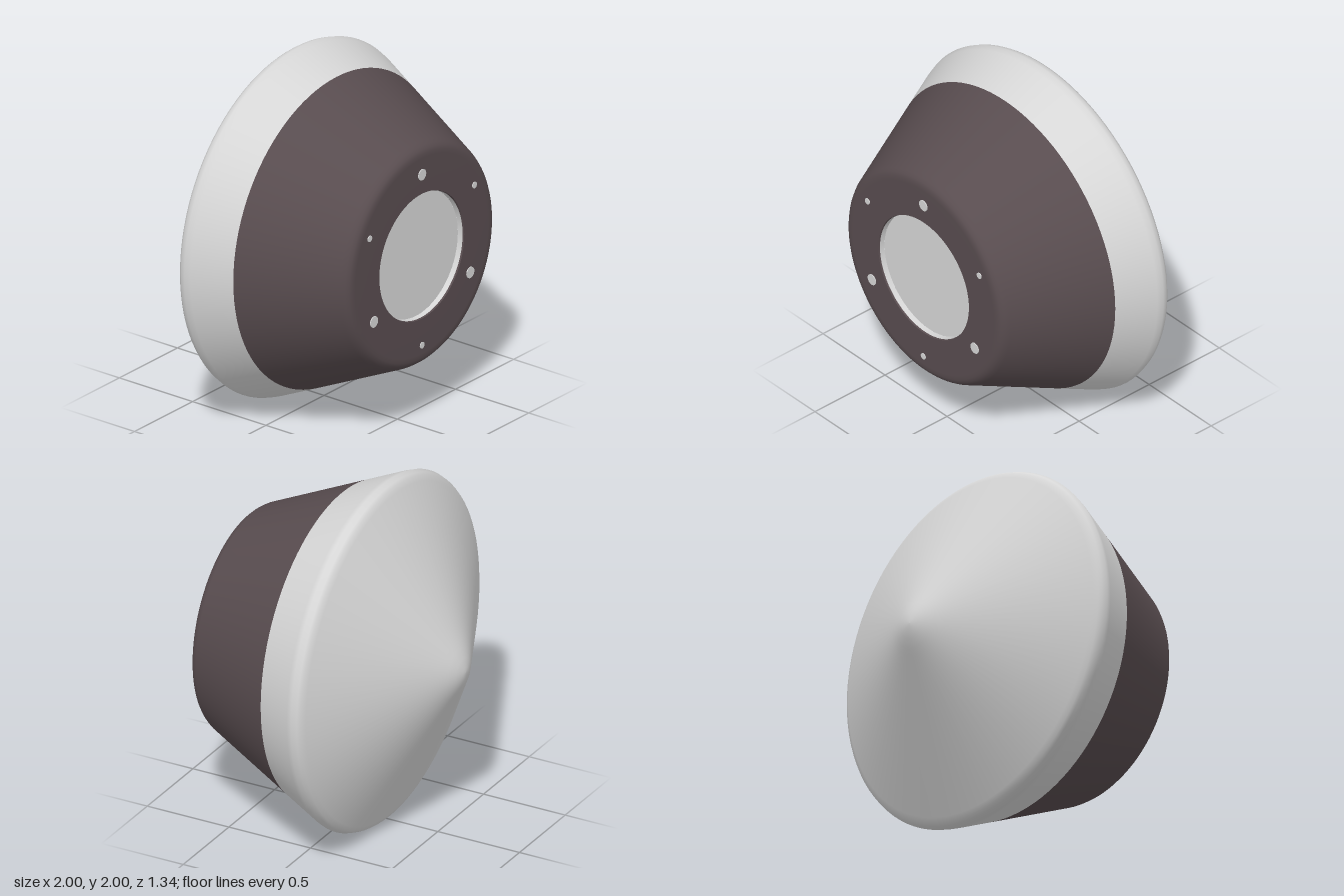
import * as THREE from 'three';

const lightGrey = new THREE.MeshStandardMaterial({ color: 0xd6d6d6 });
lightGrey.name = 'lightGrey';
const darkBrown = new THREE.MeshStandardMaterial({ color: 0x584c4f });
darkBrown.name = 'darkBrown';

// Surface of revolution about the z axis; profile is [radius, z] from back to front
function turned(name, profile, material) {
  const points = profile.map(([r, z]) => new THREE.Vector2(r, z));
  const mesh = new THREE.Mesh(new THREE.LatheGeometry(points, 96).rotateX(Math.PI / 2), material);
  mesh.name = name;
  return mesh;
}

// Thin round plate facing +z
function disc(name, radius, thickness, x, y, z) {
  const geometry = new THREE.CylinderGeometry(radius, radius, thickness, 32).rotateX(Math.PI / 2);
  const mesh = new THREE.Mesh(geometry, lightGrey);
  mesh.name = name;
  mesh.position.set(x, y, z);
  return mesh;
}

export function createModel() {
  const model = new THREE.Group();
  const body = new THREE.Group();
  body.name = 'body';
  body.position.y = 1;
  model.add(body);

  // Rounded back cone, soft rim and the pale start of the front cone
  body.add(turned('backShell', [
    [0, -0.672], [0.03, -0.67], [0.08, -0.655], [0.13, -0.632], [0.17, -0.612],
    [0.95, -0.223], [0.978, -0.207], [0.99, -0.19], [1, -0.16], [0.988, -0.127], [0.89, 0.087],
  ], lightGrey));

  // Dark tapering housing with a bevelled front edge and a flat face
  body.add(turned('frontHousing', [
    [0.89, 0.087], [0.645, 0.62], [0.63, 0.643], [0.615, 0.658], [0.595, 0.666], [0.57, 0.667], [0.365, 0.667],
  ], darkBrown));

  // Opening in the face: short wall and recessed plate
  body.add(turned('openingEdge', [[0.365, 0.667], [0.362, 0.658]], darkBrown));
  body.add(turned('openingWall', [[0.362, 0.658], [0.36, 0.627]], lightGrey));
  body.add(disc('recessedPlate', 0.361, 0.008, 0, 0, 0.623));

  // Alternating large and small studs around the opening
  for (let i = 0; i < 6; i++) {
    const large = i % 2 === 0;
    const angle = Math.PI / 2 + (i * Math.PI) / 3;
    const ring = large ? 0.478 : 0.52;
    body.add(disc(large ? 'largeStud' : 'smallStud', large ? 0.032 : 0.018, 0.008,
      Math.cos(angle) * ring, Math.sin(angle) * ring, 0.668));
  }
  return model;
}
